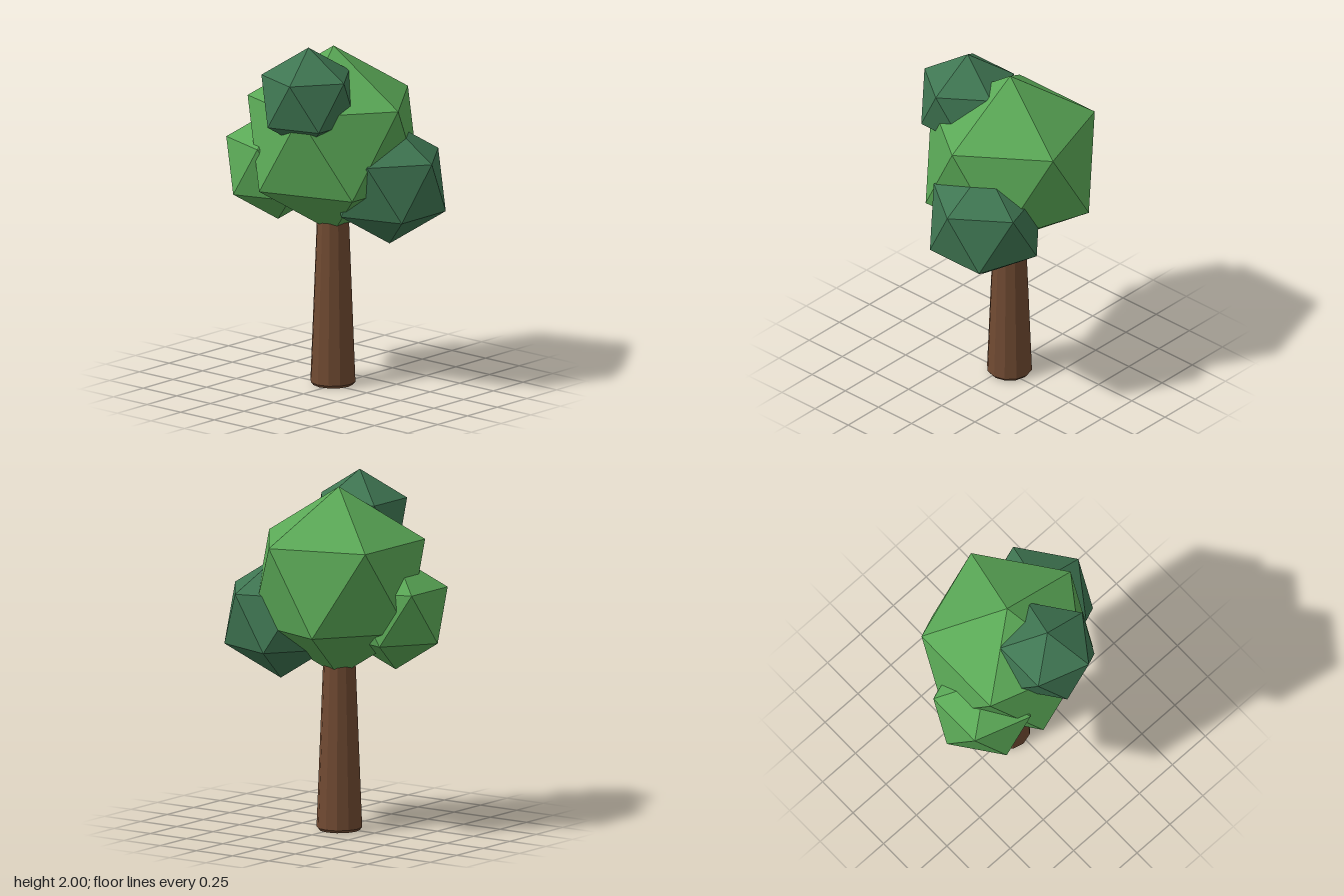
import * as THREE from 'three';

const mat = (name, color, flatShading = true) => {
  const m = new THREE.MeshStandardMaterial({ color, flatShading });
  m.name = name;
  return m;
};

export function createModel() {
  const tree = new THREE.Group();
  tree.name = 'tree';
  const leafGreen = mat('leaf green', 0x5aa856);
  const deepGreen = mat('deep green', 0x3f7652);
  const bark = mat('bark brown', 0x704a32);

  // Tapered trunk with a small bevel at the foot, its top hidden in the crown
  const profile = [[0, 0], [0.115, 0], [0.128, 0.016], [0.086, 1.08], [0, 1.08]];
  const trunk = new THREE.Mesh(
    new THREE.LatheGeometry(profile.map(([r, y]) => new THREE.Vector2(r, y)), 12), bark);
  trunk.name = 'trunk';
  trunk.position.set(-0.028, 0, -0.03);
  tree.add(trunk);

  // Foliage clumps: icosahedra standing on one corner, an upper corner towards +x
  const tilt = -Math.atan((1 + Math.sqrt(5)) / 2);
  const clump = (name, radius, x, y, z, material) => {
    const geometry = new THREE.IcosahedronGeometry(radius, 0).rotateX(tilt).rotateY(Math.PI / 2);
    const mesh = new THREE.Mesh(geometry, material);
    mesh.name = name;
    mesh.position.set(x, y, z);
    tree.add(mesh);
  };
  clump('mainCrown', 0.538, -0.028, 1.41, -0.035, leafGreen);
  clump('rightClump', 0.324, -0.322, 1.247, 0.1, leafGreen);
  clump('leftClump', 0.352, 0.295, 1.194, -0.141, deepGreen);
  clump('topClump', 0.295, 0.026, 1.705, 0.237, deepGreen);

  return tree;
}
